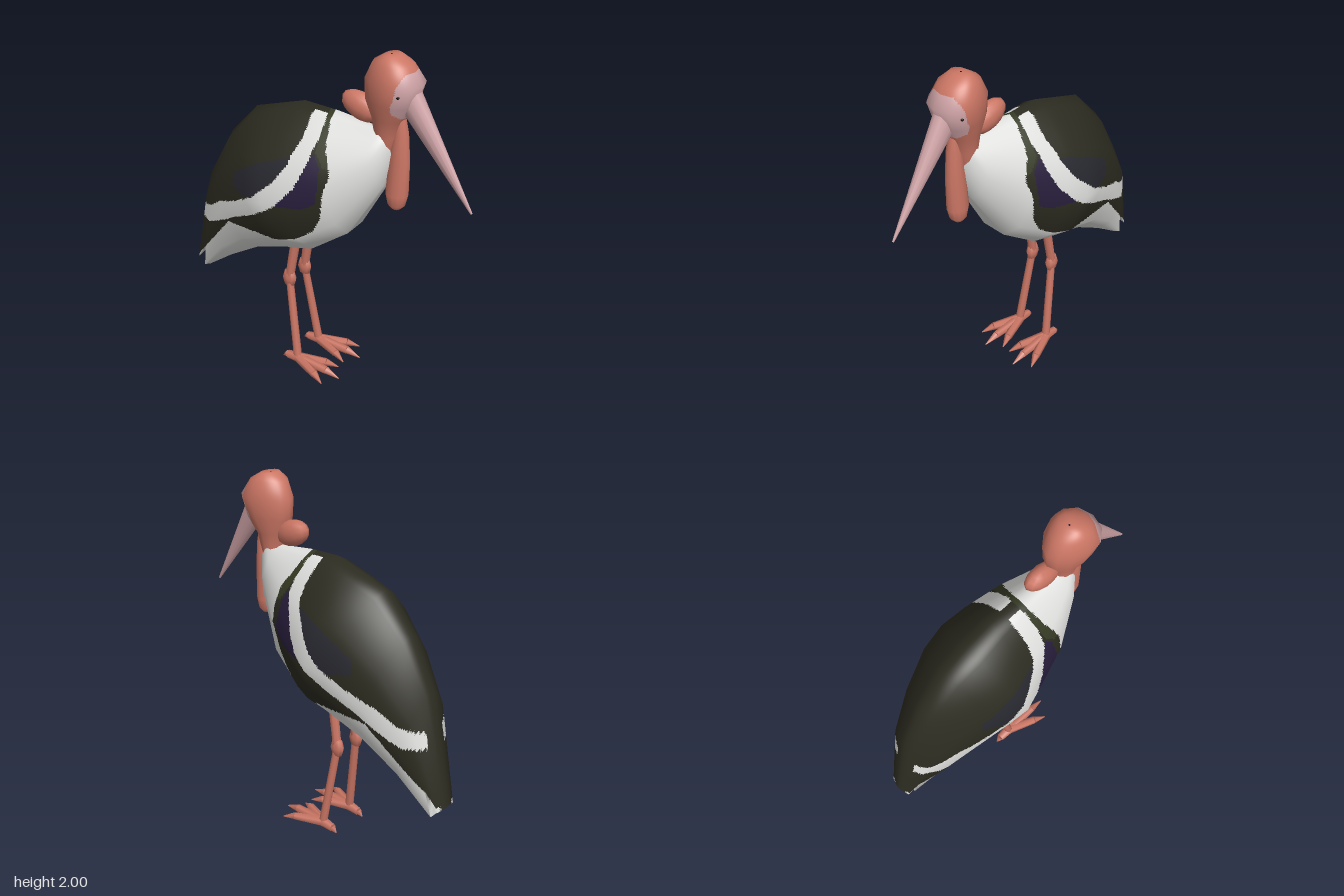
import * as THREE from 'three';

const mat = (name, color, side = THREE.FrontSide) => {
  const m = new THREE.MeshStandardMaterial({ color, side });
  m.name = name;
  return m;
};

// Is (x, y) inside a side-view polygon?
function inside(poly, x, y) {
  let hit = false;
  for (let i = 0, j = poly.length - 1; i < poly.length; j = i++) {
    const [ax, ay] = poly[i], [bx, by] = poly[j];
    if ((ay > y) !== (by > y) && x < ((bx - ax) * (y - ay)) / (by - ay) + ax) hit = !hit;
  }
  return hit;
}

// Skin closed rings; n subdivides each coarse face, pick() gives a material index per face
function loft(name, rings, materials, n = 1, pick = () => 0) {
  const R = rings.length, C = rings[0].length, coarse = new THREE.BufferGeometry(), ci = [];
  for (let i = 0; i < R - 1; i++) for (let j = 0; j < C; j++) {
    const a = i * C + j, b = a + C, c = i * C + ((j + 1) % C), d = c + C;
    ci.push(a, b, c, b, d, c);
  }
  coarse.setAttribute('position', new THREE.Float32BufferAttribute(rings.flat(2), 3));
  coarse.setIndex(ci);
  coarse.computeVertexNormals();
  const sample = (arr, u, v, k) => {
    const i = Math.min(Math.floor(u / n), R - 2), j = Math.floor(v / n) % C;
    const s = u / n - i, t = (v % n) / n, at = (r, c) => arr[(r * C + (c % C)) * 3 + k];
    return (at(i, j) * (1 - t) + at(i, j + 1) * t) * (1 - s) + (at(i + 1, j) * (1 - t) + at(i + 1, j + 1) * t) * s;
  };
  const P = [], N = [], U = (R - 1) * n, V = C * n;
  for (let u = 0; u <= U; u++) for (let v = 0; v <= V; v++) for (let k = 0; k < 3; k++) {
    P.push(sample(coarse.attributes.position.array, u, v, k));
    N.push(sample(coarse.attributes.normal.array, u, v, k));
  }
  const buckets = materials.map(() => []);
  const face = (...f) => {
    const m = [0, 1, 2].map(k => (P[f[0] * 3 + k] + P[f[1] * 3 + k] + P[f[2] * 3 + k]) / 3);
    buckets[pick(...m)].push(...f);
  };
  for (let u = 0; u < U; u++) for (let v = 0; v < V; v++) {
    const a = u * (V + 1) + v, b = a + V + 1;
    face(a, b, a + 1);
    face(b, b + 1, a + 1);
  }
  const g = new THREE.BufferGeometry();
  g.setAttribute('position', new THREE.Float32BufferAttribute(P, 3));
  g.setAttribute('normal', new THREE.Float32BufferAttribute(N, 3));
  g.setIndex(buckets.flat());
  let start = 0;
  buckets.forEach((b, i) => { g.addGroup(start, b.length, i); start += b.length; });
  g.normalizeNormals();
  const mesh = new THREE.Mesh(g, materials);
  mesh.name = name;
  return mesh;
}

// Body section: top point, bottom point, half width; notch pulls the side points forward and up
const PROFILE = [[0, 0], [0.05, 0.25], [0.25, 0.78], [0.55, 1], [0.85, 0.77], [1, 0.32], [1, 0]];
function section([tx, ty, bx, by, w, notch = 0]) {
  const half = PROFILE.map(([t, f], i) => {
    const k = i === 3 ? notch : 0;
    return [tx + (bx - tx) * t + k * 0.4, ty + (by - ty) * t + k, w * f];
  });
  return [...half, ...half.slice(1, -1).reverse().map(([x, y, z]) => [x, y, -z])];
}

// Horizontal egg: height, back x, front x, half width, fuller at the front by `full`
const egg = ([y, x0, x1, w, full = 0]) => Array.from({ length: 12 }, (_, i) => {
  const a = (i / 12) * Math.PI * 2;
  return [(x0 + x1) / 2 + Math.cos(a) * (x1 - x0) / 2, y, -Math.sin(a) * w * (1 + full * Math.cos(a))];
});

// Tapered rod between two points
function rod(name, a, b, ra, rb, material, sides = 8) {
  const A = new THREE.Vector3(...a), B = new THREE.Vector3(...b), d = B.clone().sub(A);
  const m = new THREE.Mesh(new THREE.CylinderGeometry(rb, ra, d.length(), sides), material);
  m.position.copy(A).add(B).multiplyScalar(0.5);
  m.quaternion.setFromUnitVectors(new THREE.Vector3(0, 1, 0), d.normalize());
  m.name = name;
  return m;
}

// Plumage regions seen from the side
const WING = [[-0.95, 0.41], [-0.865, 0.49], [-0.49, 0.9], [-0.15, 0.91], [-0.02, 0.94], [0.08, 1.01], [0.13, 1.1],
  [0.15, 1.22], [0.18, 1.36], [0.16, 1.44], [0.12, 1.53], [0.1, 1.6], [0.07, 1.75], [-1, 1.75]];
const STRIPE = [[-0.02, 1.625], [-0.01, 1.52], [-0.05, 1.39], [-0.12, 1.28], [-0.24, 1.17], [-0.4, 1.08], [-0.55, 1.01],
  [-0.66, 0.93], [-0.77, 0.9], [-0.79, 0.81], [-0.7, 0.81], [-0.52, 0.9], [-0.4, 0.97], [-0.25, 1.05], [-0.1, 1.15],
  [0, 1.27], [0.06, 1.42], [0.08, 1.53], [0.07, 1.61], [0.04, 1.66], [0, 1.66]];
const PURPLE = [[0.08, 1.47], [0.12, 1.4], [0.13, 1.3], [0.12, 1.2], [0.04, 1.15], [-0.1, 1.15], [0.02, 1.35]];
const SLATE = [[-0.04, 1.42], [-0.2, 1.37], [-0.33, 1.3], [-0.41, 1.24], [-0.42, 1.16], [-0.3, 1.14], [-0.1, 1.22]];
const OLIVE = [[0.05, 1.7], [0.2, 1.7], [0.2, 1.38], [0.14, 1.4], [0.09, 1.47], [0.07, 1.55]];
const FACE = [[0.52, 1.935], [0.5, 1.88], [0.485, 1.81], [0.465, 1.78], [0.465, 1.73], [0.5, 1.69], [0.7, 1.69], [0.7, 1.935]];

export function createModel() {
  const white = mat('white feathers', 0xe0e0de, THREE.DoubleSide);
  const dark = mat('dark feathers', 0x2c2b20, THREE.DoubleSide);
  const purple = mat('purple feathers', 0x281e3c);
  const slate = mat('slate feathers', 0x282830);
  const olive = mat('olive feathers', 0x343923);
  const skin = mat('red skin', 0xcb7664);
  const pink = mat('pink beak', 0xcfa3a6);
  const black = mat('black eye', 0x17120f);
  const bird = new THREE.Group();
  bird.name = 'wadingBird';

  // Body with folded wings, ending in a notch between wing tips and tail
  const body = [
    [0.41, 1.6, 0.42, 1.55, 0.02], [0.37, 1.64, 0.445, 1.48, 0.075], [0.32, 1.61, 0.405, 1.3, 0.12],
    [0.1, 1.64, 0.22, 0.98, 0.235], [-0.1, 1.65, 0, 0.82, 0.295], [-0.26, 1.6, -0.09, 0.8, 0.328],
    [-0.42, 1.55, -0.18, 0.775, 0.307], [-0.6, 1.36, -0.4, 0.69, 0.245], [-0.75, 1.1, -0.62, 0.55, 0.172],
    [-0.89, 0.48, -0.82, 0.4, 0.085, 0.135], [-0.89, 0.48, -0.82, 0.4, 0.085, 0.135], [-0.8, 0.56, -0.8, 0.54, 0.005],
  ].map(section);
  bird.add(loft('bodyAndWings', body, [white, dark, purple, slate, olive], 20, (x, y, z) => {
    if (!inside(WING, x, y)) return 0;
    if (Math.abs(z) > 0.03 && inside(STRIPE, x, y)) return 0;
    return inside(PURPLE, x, y) ? 2 : inside(SLATE, x, y) ? 3 : inside(OLIVE, x, y) ? 4 : 1;
  }));

  // Head and neck, with a pale face
  const head = [
    [2, 0.4, 0.41, 0.005], [2, 0.37, 0.45, 0.06], [1.96, 0.31, 0.52, 0.1, 0.1], [1.87, 0.265, 0.582, 0.13, 0.22],
    [1.76, 0.27, 0.55, 0.112, 0.22], [1.67, 0.31, 0.49, 0.08, 0.1], [1.58, 0.33, 0.47, 0.065], [1.45, 0.34, 0.42, 0.05],
  ].map(egg);
  bird.add(loft('headAndNeck', head, [skin, pink], 10, (x, y) => (inside(FACE, x, y) ? 1 : 0)));

  // Beak
  const beak = new THREE.Group();
  beak.name = 'beak';
  beak.add(rod('beakCone', [0, 0, 0], [0.387, -0.548, 0], 0.074, 0.006, pink, 12));
  beak.position.set(0.5, 1.817, 0);
  beak.scale.z = 0.8;
  bird.add(beak);

  // Hanging throat pouch
  const pouch = [
    [1.72, 0.46, 0.49, 0.02], [1.6, 0.435, 0.515, 0.04], [1.45, 0.415, 0.53, 0.045], [1.26, 0.405, 0.53, 0.052],
    [1.2, 0.42, 0.515, 0.043], [1.175, 0.445, 0.49, 0.022], [1.17, 0.465, 0.47, 0.003],
  ].map(egg);
  bird.add(loft('throatPouch', pouch, [skin]));

  // Swelling behind the neck
  const bump = new THREE.Mesh(new THREE.SphereGeometry(1, 12, 8), skin);
  bump.name = 'neckSwelling';
  bump.scale.set(0.12, 0.072, 0.055);
  bump.position.set(0.243, 1.695, 0);
  bump.rotation.z = -0.35;
  bird.add(bump);

  // Eyes, legs and feet, mirrored
  for (const s of [1, -1]) {
    const eye = new THREE.Mesh(new THREE.SphereGeometry(0.009, 8, 6), black);
    eye.name = 'eye';
    eye.position.set(0.505, 1.83, s * 0.107);
    bird.add(eye);

    const leg = new THREE.Group();
    leg.name = s > 0 ? 'leftLeg' : 'rightLeg';
    const knee = [-0.17, 0.56, s * 0.077], ankle = [-0.095, 0.04, s * 0.112];
    leg.add(rod('thigh', [-0.12, 0.87, s * 0.068], knee, 0.029, 0.026, skin));
    leg.add(rod('shin', knee, ankle, 0.022, 0.025, skin));
    const joint = new THREE.Mesh(new THREE.SphereGeometry(1, 8, 4), skin);
    joint.name = 'knee';
    joint.scale.set(0.046, 0.065, 0.03);
    joint.position.set(...knee);
    leg.add(joint);
    // Toes with pointed claws
    for (const [x, z] of [[0.2, 0.118], [0.14, 0.213], [0.14, 0.027], [-0.2, 0.112]]) {
      const t = 0.7, mid = [-0.095 + (x + 0.095) * t, 0.026, s * (0.112 + (z - 0.112) * t)];
      leg.add(rod('toe', [-0.095, 0.033, s * 0.112], mid, 0.031, 0.024, skin, 6));
      leg.add(rod('claw', mid, [x, 0.004, s * z], 0.023, 0.003, skin, 6));
    }
    bird.add(leg);
  }
  return bird;
}
